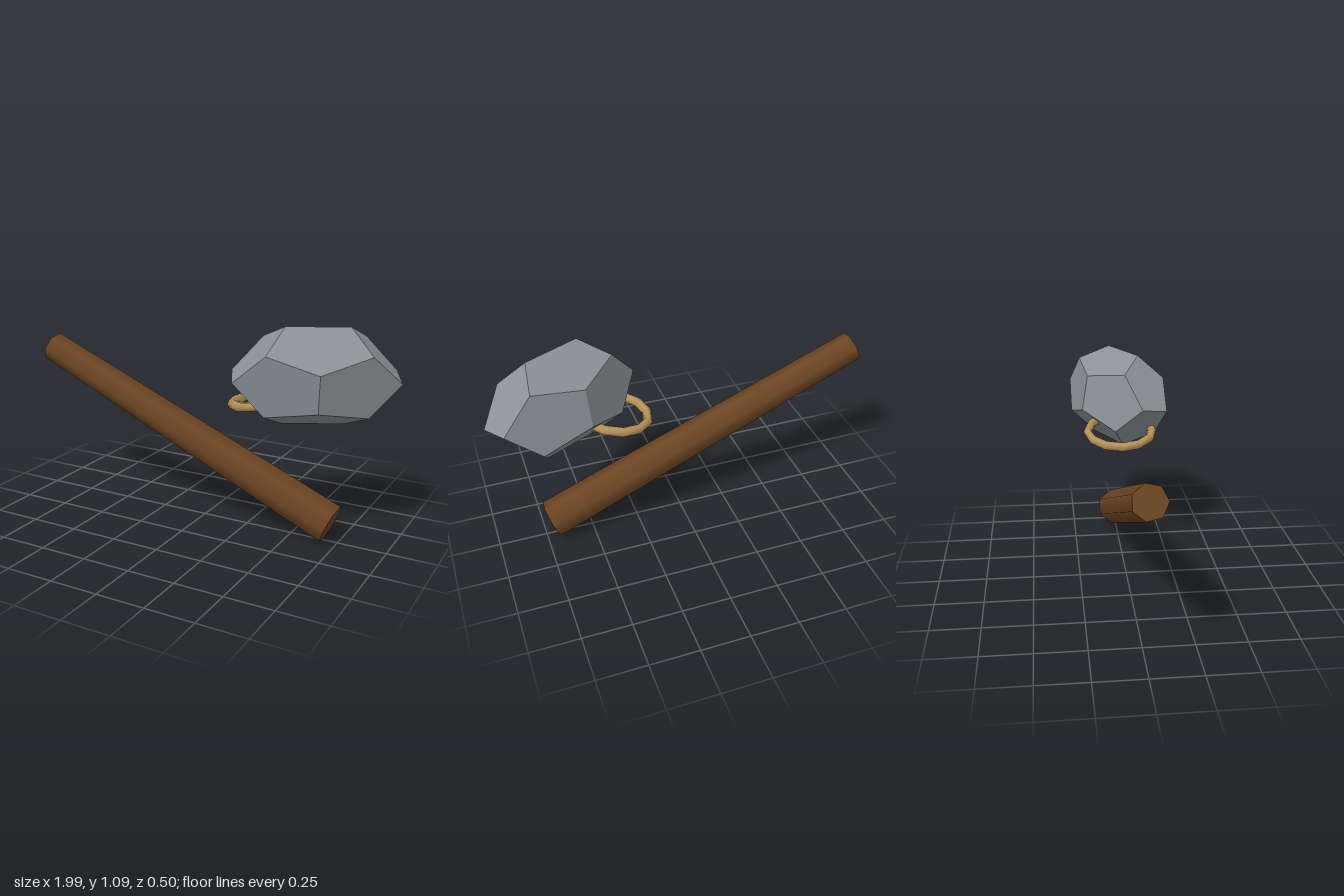
import * as THREE from 'three';

function addPart(group, name, geometry, color, position, rotation, flatShading = false) {
  const mesh = new THREE.Mesh(geometry, new THREE.MeshStandardMaterial({ color, flatShading }));
  mesh.name = name;
  mesh.position.set(...position);
  mesh.rotation.set(...rotation);
  group.add(mesh);
  return mesh;
}

export function createModel() {
  const group = new THREE.Group();
  group.name = 'stoneHammer';

  // Tapered seven-sided wooden handle, leaning down towards +x
  addPart(group, 'handle', new THREE.CylinderGeometry(0.081, 0.104, 1.83, 7),
    0x6b4423, [-0.13, 0.463, 0], [0, 0, 1.163]);

  // Faceted stone head: a stretched dodecahedron
  const stone = addPart(group, 'stoneHead', new THREE.DodecahedronGeometry(1, 0),
    0x8a9296, [0.6, 0.842, 0], [0.21, 0.46, -0.093], true);
  stone.scale.set(0.428, 0.273, 0.222);

  // Rope loop, partly sunk into the stone
  addPart(group, 'ropeLoop', new THREE.TorusGeometry(0.178, 0.024, 6, 12),
    0xb8935a, [0.35, 0.703, 0], [Math.PI / 2, 0.2, 0]);

  return group;
}
